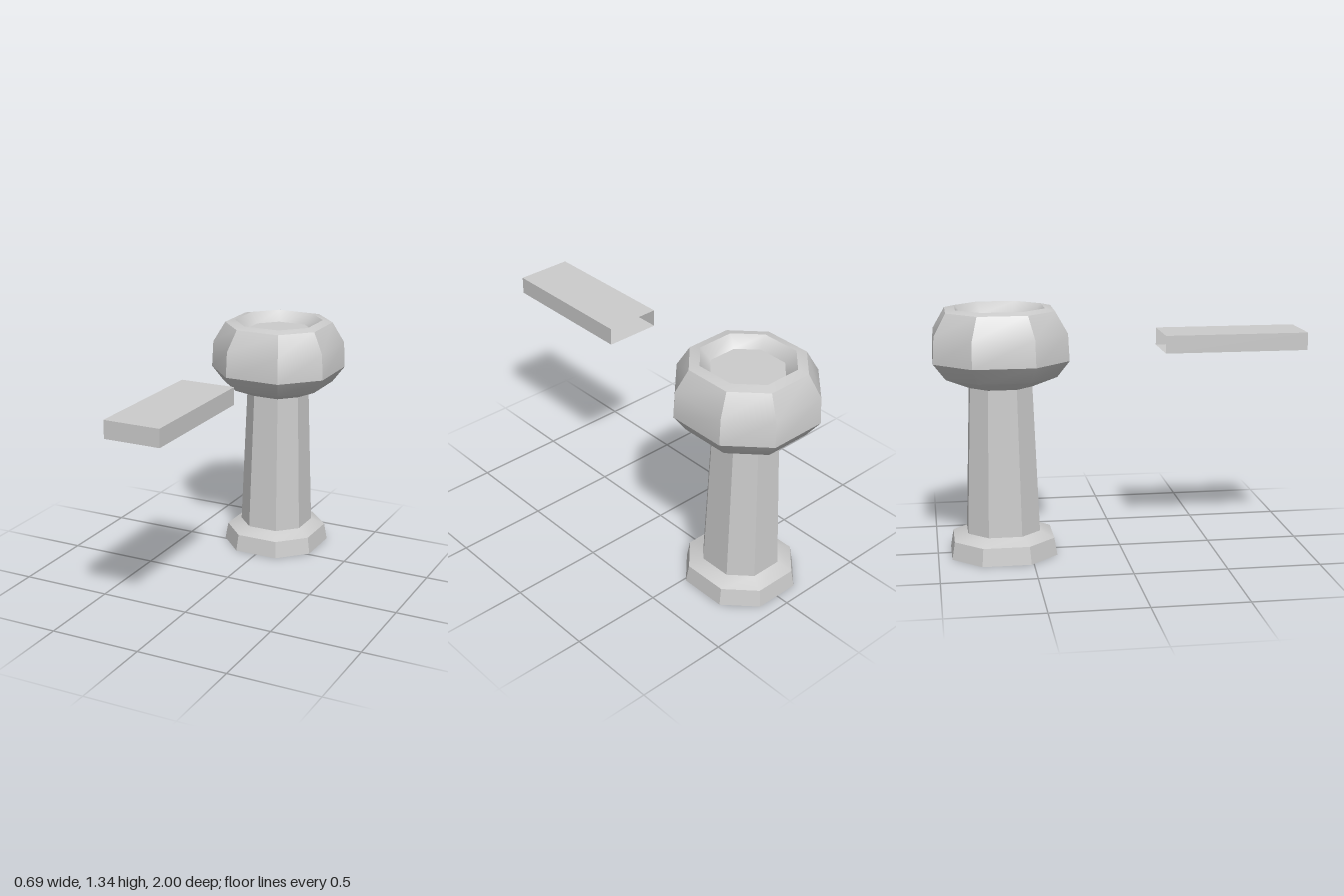
import * as THREE from 'three';
import { toCreasedNormals } from 'three/addons/utils/BufferGeometryUtils.js';

const CORNER = 0.46;   // where the octagon's corners are cut, relative to its half width
const STRETCH = 1.03;  // the octagon is slightly deeper than wide

// Eight corners of one cross-section, counter-clockwise seen from above.
function octagon(r, y) {
  const c = r * CORNER;
  return [[r, c], [c, r], [-c, r], [-r, c], [-r, -c], [-c, -r], [c, -r], [r, -c]]
    .map(([x, z]) => [x, y, z * STRETCH]);
}

// Skin a stack of octagons, given as [half width, height], with optional flat end caps.
function loft(profile, capStart, capEnd) {
  const points = profile.flatMap(([r, y]) => octagon(r, y));
  const index = [];
  for (let k = 0; k < profile.length - 1; k++) {
    for (let i = 0; i < 8; i++) {
      const a = k * 8 + i, b = k * 8 + (i + 1) % 8;
      index.push(a, a + 8, b, b, a + 8, b + 8);
    }
  }
  const last = (profile.length - 1) * 8;
  for (let i = 1; i < 7; i++) {
    if (capStart) index.push(0, i, i + 1);
    if (capEnd) index.push(last, last + i + 1, last + i);
  }
  const geometry = new THREE.BufferGeometry();
  geometry.setAttribute('position', new THREE.Float32BufferAttribute(points.flat(), 3));
  geometry.setIndex(index);
  return toCreasedNormals(geometry, THREE.MathUtils.degToRad(36));
}

export function createModel() {
  const model = new THREE.Group();
  const material = new THREE.MeshStandardMaterial({ color: 0xcccccc, side: THREE.DoubleSide });
  const add = (name, geometry, parent) => {
    const mesh = new THREE.Mesh(geometry, material);
    mesh.name = name;
    parent.add(mesh);
    return mesh;
  };

  // Pedestal: foot, tapering shaft and a rounded bowl with a shallow recess
  const pedestal = new THREE.Group();
  pedestal.name = 'pedestal';
  pedestal.position.z = -0.644;
  model.add(pedestal);
  add('foot', loft([[0.275, 0], [0.26, 0.095], [0.188, 0.13]], true, false), pedestal);
  add('shaft', loft([[0.188, 0.13], [0.16, 0.925]], false, false), pedestal);
  add('bowl', loft([
    [0.16, 0.925], [0.283, 0.982], [0.345, 1.07], [0.338, 1.215],
    [0.276, 1.33], [0.226, 1.343], [0.175, 1.285],
  ], false, true), pedestal);

  // Floating slab: a hollow box without its back face
  const box = new THREE.BoxGeometry(0.305, 0.095, 0.775);
  box.setIndex(Array.from(box.index.array).slice(0, 30)); // the back face comes last
  box.clearGroups();
  add('slab', box, model).position.set(-0.002, 1.143, 0.6125);

  return model;
}
